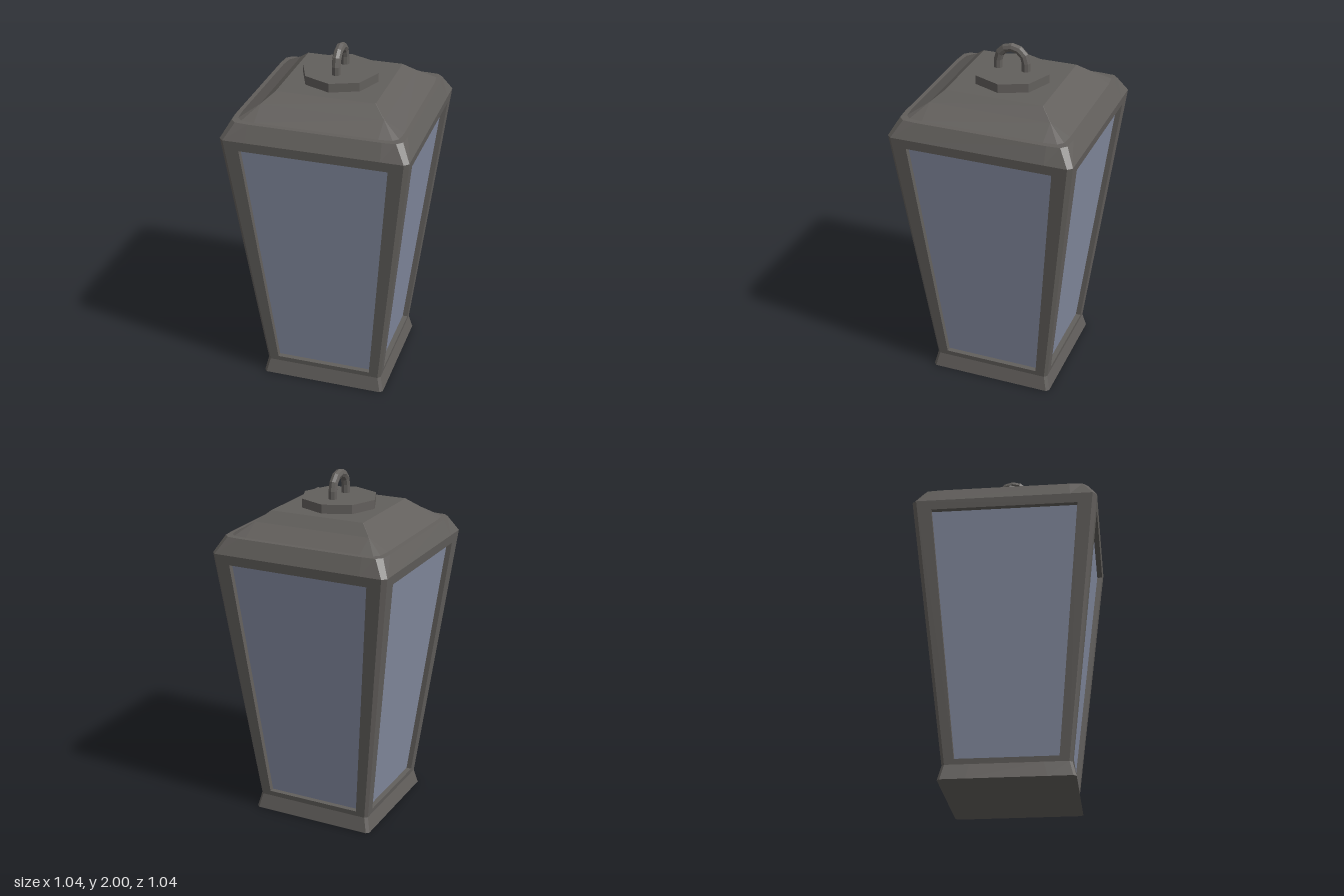
import * as THREE from 'three';

const flat = (color, name) => {
  const m = new THREE.MeshStandardMaterial({ color });
  m.name = name;
  return m;
};

// Square ring with cut corners: h half width, a corner cut, b start of the
// corner bow, d bow depth. Runs counter-clockwise seen from above.
function ring(y, h, a, b = 0.15, d = 0) {
  const corner = [[h, h - b], [h - d, h - a], [h - a, h - d], [h - b, h]];
  const pts = [];
  for (let k = 0; k < 4; k++) {
    for (const [p, q] of corner) {
      let x = p, u = q;
      for (let j = 0; j < k; j++) [x, u] = [-u, x];
      pts.push(new THREE.Vector3(x, y, -u));
    }
  }
  return pts;
}

// Faceted skin between rings; "keep" picks the sides that are built
function loft(rings, { keep = () => true, bottom = false, top = false } = {}) {
  const out = [];
  const tri = (...p) => p.forEach(v => out.push(v.x, v.y, v.z));
  for (let r = 0; r < rings.length - 1; r++) {
    const lo = rings[r], hi = rings[r + 1];
    for (let i = 0; i < 16; i++) {
      if (!keep(i)) continue;
      const j = (i + 1) % 16;
      tri(lo[i], lo[j], hi[j]);
      tri(lo[i], hi[j], hi[i]);
    }
  }
  const cap = (pts, up) => {
    const c = new THREE.Vector3(0, pts[0].y, 0);
    pts.forEach((p, i) => {
      const q = pts[(i + 1) % 16];
      up ? tri(c, p, q) : tri(c, q, p);
    });
  };
  if (bottom) cap(rings[0], false);
  if (top) cap(rings[rings.length - 1], true);
  const g = new THREE.BufferGeometry();
  g.setAttribute('position', new THREE.Float32BufferAttribute(out, 3));
  g.computeVertexNormals();
  return g;
}

const Y0 = 0.085, Y1 = 1.59, H0 = 0.345, H1 = 0.52;
const faceZ = y => H0 + (y - Y0) * (H1 - H0) / (Y1 - Y0);

// Symmetric trapezoid outline
const trapezoid = (Type, y0, w0, y1, w1) => new Type([
  new THREE.Vector2(-w0, y0), new THREE.Vector2(w0, y0),
  new THREE.Vector2(w1, y1), new THREE.Vector2(-w1, y1)]);

// Lean a flat panel onto the sloping side of the body
function lean(g, offset) {
  const p = g.attributes.position;
  for (let i = 0; i < p.count; i++) p.setZ(i, p.getZ(i) + faceZ(p.getY(i)) + offset);
  g.computeVertexNormals();
  return g;
}

export function createModel() {
  const model = new THREE.Group();
  model.name = 'lantern';
  const metal = flat(0x625f5c, 'dark metal');
  const glass = flat(0x848ba0, 'blue grey glass');
  const add = (name, geo, mat = metal) => {
    const m = new THREE.Mesh(geo, mat);
    m.name = name;
    model.add(m);
    return m;
  };

  // Flared foot
  add('base', loft([ring(0, 0.365, 0.016), ring(Y0, H0, 0.016)], { bottom: true }));

  // Bevelled corner posts
  add('cornerPosts', loft([ring(Y0, H0, 0.016), ring(Y1, H1, 0.024)],
    { keep: i => i % 4 === 1 }));

  // Window frames with recessed panes on all four sides
  const outline = trapezoid(THREE.Shape, Y0, H0 - 0.016, Y1, H1 - 0.024);
  outline.holes.push(trapezoid(THREE.Path, 0.115, 0.278, 1.535, 0.41));
  const frameGeo = lean(new THREE.ExtrudeGeometry(outline,
    { depth: 0.04, bevelEnabled: false }), -0.04);
  const paneGeo = lean(new THREE.ShapeGeometry(
    trapezoid(THREE.Shape, 0.105, 0.283, 1.545, 0.415)), -0.03);
  for (let k = 0; k < 4; k++) {
    add('windowFrame', frameGeo).rotation.y = k * Math.PI / 2;
    add('windowPane', paneGeo, glass).rotation.y = k * Math.PI / 2;
  }

  // Bevelled shoulder and stepped hip roof
  add('roof', loft([
    ring(Y1, H1, 0.024),
    ring(1.68, 0.476, 0.036, 0.11, 0.006),
    ring(1.682, 0.45, 0.036, 0.11, 0.008),
    ring(1.745, 0.342, 0.001, 0.002),
    ring(1.8, 0.277, 0.001, 0.002),
  ], { top: true }));

  // Octagonal cap plate
  const plate = new THREE.CylinderGeometry(0.215, 0.215, 0.055, 8).toNonIndexed();
  plate.computeVertexNormals();
  add('capPlate', plate).position.y = 1.8225;

  // Hanging loop
  const arch = new THREE.TorusGeometry(0.08, 0.025, 8, 6, Math.PI).toNonIndexed();
  arch.computeVertexNormals();
  const loop = add('loopArch', arch);
  loop.rotation.y = Math.PI / 2;
  loop.position.y = 1.895;
  const leg = new THREE.CylinderGeometry(0.025, 0.025, 0.055, 8, 1, true).toNonIndexed();
  leg.computeVertexNormals();
  for (const s of [-1, 1]) add('loopLeg', leg).position.set(0, 1.8675, s * 0.08);

  return model;
}
